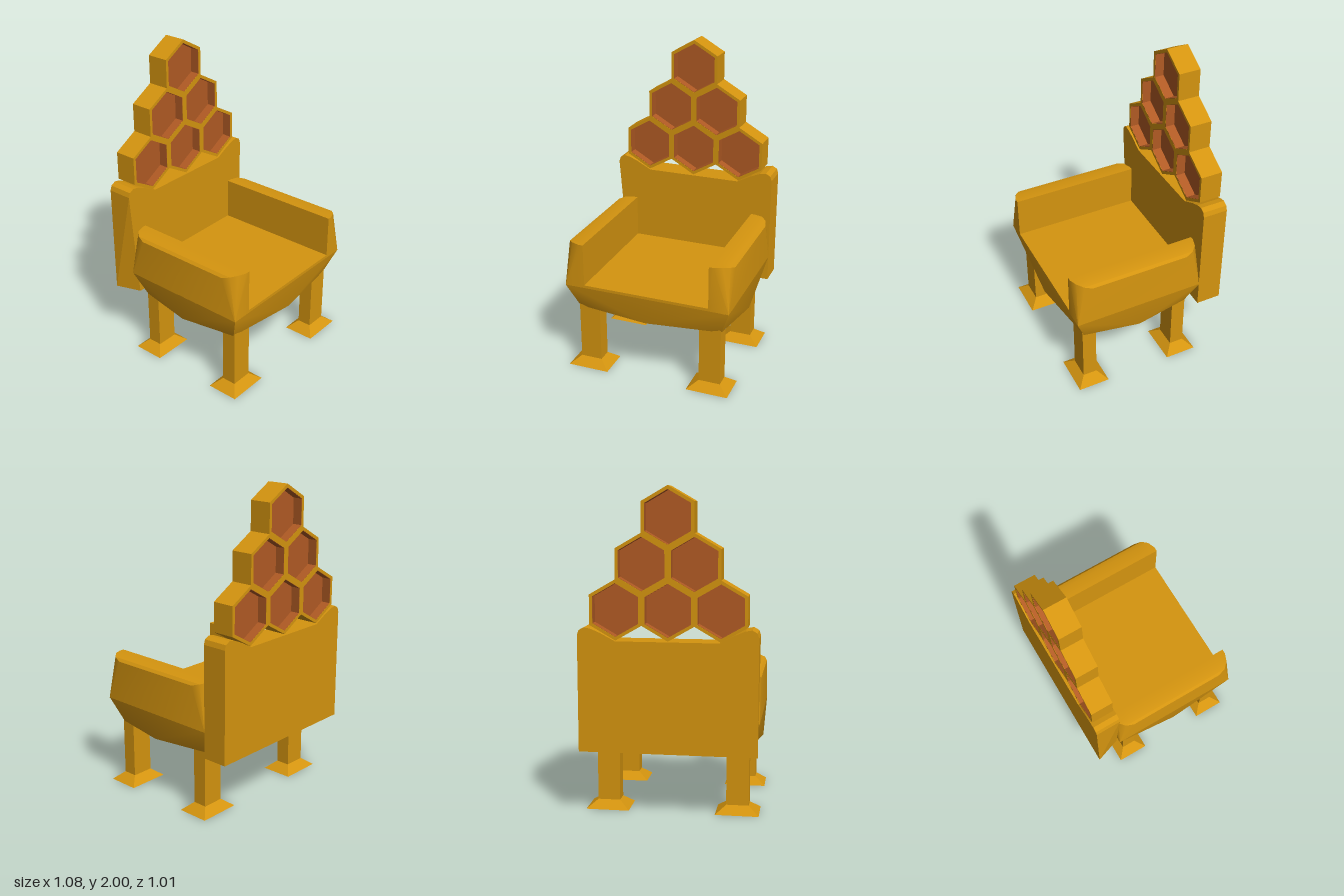
import * as THREE from 'three';
import { toCreasedNormals } from 'three/addons/utils/BufferGeometryUtils.js';

const gold = new THREE.MeshStandardMaterial({ color: 0xd4940f });
gold.name = 'honey gold';
const brown = new THREE.MeshStandardMaterial({ color: 0xb05a24 });
brown.name = 'comb brown';

function add(parent, name, geometry, material, x = 0, y = 0, z = 0) {
  const mesh = new THREE.Mesh(geometry, material);
  mesh.name = name;
  mesh.position.set(x, y, z);
  parent.add(mesh);
  return mesh;
}

// Geometry from a list of corner triples
function fromTriangles(tris, crease) {
  const g = new THREE.BufferGeometry();
  g.setAttribute('position', new THREE.Float32BufferAttribute(tris.flat(2), 3));
  g.computeVertexNormals();
  return toCreasedNormals(g, crease);
}

// Lower seat: rectangle above, bulging octagon below
function skirtGeometry() {
  const top = [[0.54, 0.505], [0.54, -0.345], [-0.54, -0.345], [-0.54, 0.505]]
    .map(([x, z]) => [x, 0.582, z]);
  const low = [[0.475, 0.44], [0.475, -0.28], [-0.475, -0.28], [-0.475, 0.44]]
    .map(([x, z]) => [x, 0.415, z]);
  const mid = [[0.54, 0.08], [0, -0.345], [-0.54, 0.08], [0, 0.505]]
    .map(([x, z]) => [x, 0.415, z]);
  const centre = [0, 0.415, 0.08];
  const tris = [];
  for (let i = 0; i < 4; i++) {
    const n = (i + 1) % 4;
    tris.push([top[i], mid[i], top[n]], [top[i], low[i], mid[i]], [top[n], mid[i], low[n]]);
    tris.push([centre, mid[i], low[i]], [centre, low[n], mid[i]]);
  }
  return fromTriangles(tris, 0.6);
}

// Armrest: square corners at the seat, rounded corners and edge on top
function armGeometry(side) {
  const outline = [[0.41, 0.505], [0.44, 0.505], [0.49, 0.485], [0.525, 0.45], [0.54, 0.4],
    [0.54, -0.24], [0.525, -0.29], [0.49, -0.325], [0.43, -0.345], [0.41, -0.345]];
  const drop = (x) => (x > 0.53 ? 0.85 : x > 0.5 ? 0.866 : 0.875);
  const last = outline.length - 1;
  const layers = [
    (x, z, i) => (i === 0 || i === last ? [x, 0.58, z] : [0.54, 0.58, z > 0 ? 0.505 : -0.345]),
    (x, z) => [x, drop(x), z],
    (x, z) => [Math.min(x, 0.525), drop(Math.min(x, 0.525)), z],
    (x, z) => [Math.min(x, 0.49), 0.875, z],
    (x, z) => [0.41, 0.875, z],
    (x, z) => [0.41, 0.58, z],
  ].map((rule) => {
    const row = outline.map(([x, z], i) => rule(x, z, i)).map(([x, y, z]) => [x * side, y, z]);
    return side < 0 ? row.reverse() : row;
  });
  const tris = [];
  for (let j = 0; j < layers.length - 1; j++) {
    for (let i = 0; i < last; i++) {
      const a = layers[j], b = layers[j + 1];
      tris.push([a[i], a[i + 1], b[i + 1]], [a[i], b[i + 1], b[i]]);
    }
  }
  return fromTriangles(tris, 0.5);
}

// Back panel with raised rounded shoulders, one side slightly tapered
function backGeometry() {
  const half = [[0.54, 0.415], [0.54, 1.125], [0.53, 1.155], [0.5, 1.172], [0.46, 1.165],
    [0.4, 1.14], [0.31, 1.092]];
  const pts = [...half, ...half.map(([x, y]) => [-x, y]).reverse()];
  const shape = new THREE.Shape(pts.map(([x, y]) => new THREE.Vector2(x, y)));
  const g = new THREE.ExtrudeGeometry(shape, { depth: 0.162, bevelEnabled: false });
  const p = g.attributes.position;
  for (let i = 0; i < p.count; i++) {
    if (p.getZ(i) > 0.1 && p.getX(i) < -0.5 && p.getY(i) < 0.5) p.setX(i, -0.485);
  }
  g.computeVertexNormals();
  return g;
}

// Pointed-top hexagon
function hexPoints(r) {
  return Array.from({ length: 6 }, (_, i) => {
    const a = Math.PI / 2 + (i * Math.PI) / 3;
    return new THREE.Vector2(r * Math.cos(a), r * Math.sin(a));
  });
}

function hexGeometry(outer, inner, depth) {
  const shape = new THREE.Shape(hexPoints(outer));
  if (inner) shape.holes.push(new THREE.Path(hexPoints(inner).reverse()));
  const g = new THREE.ExtrudeGeometry(shape, { depth, bevelEnabled: false });
  return g.translate(0, 0, -depth / 2);
}

// Foot: box narrowed at the top to the leg's section
function footGeometry() {
  const g = new THREE.BoxGeometry(0.27, 0.05, 0.205);
  const p = g.attributes.position;
  for (let i = 0; i < p.count; i++) {
    if (p.getY(i) > 0) {
      p.setX(i, Math.sign(p.getX(i)) * 0.07);
      p.setZ(i, Math.sign(p.getZ(i)) * 0.046);
    }
  }
  g.computeVertexNormals();
  return g;
}

export function createModel() {
  const chair = new THREE.Group();
  chair.name = 'honeycombChair';

  // Seat, arms and back
  add(chair, 'seatBase', skirtGeometry(), gold);
  add(chair, 'seatTop', new THREE.BoxGeometry(0.82, 0.02, 0.85), gold, 0, 0.59, 0.08);
  add(chair, 'leftArm', armGeometry(1), gold);
  add(chair, 'rightArm', armGeometry(-1), gold);
  add(chair, 'back', backGeometry(), gold, 0, 0, -0.505);

  // Legs and feet
  const foot = footGeometry();
  const leg = new THREE.BoxGeometry(0.14, 0.38, 0.092);
  for (const x of [-0.405, 0.405]) {
    for (const z of [0.4025, -0.2375]) {
      add(chair, 'foot', foot, gold, x, 0.025, z);
      add(chair, 'leg', leg, gold, x, 0.24, z);
    }
  }

  // Honeycomb crest: gold frames, brown linings and recessed panels
  const frame = hexGeometry(0.181, 0.159, 0.142);
  const lining = hexGeometry(0.1595, 0.157, 0.14);
  const panel = hexGeometry(0.158, 0, 0.02);
  const crest = new THREE.Group();
  crest.name = 'honeycombCrest';
  chair.add(crest);
  for (let row = 0; row < 3; row++) {
    for (let i = 0; i <= row; i++) {
      const x = -0.004 + (i - row / 2) * 0.3135;
      const y = 1.819 - row * 0.2715;
      add(crest, 'cellFrame', frame, gold, x, y, -0.425);
      add(crest, 'cellLining', lining, brown, x, y, -0.425);
      add(crest, 'cellPanel', panel, brown, x, y, -0.425);
    }
  }
  return chair;
}
